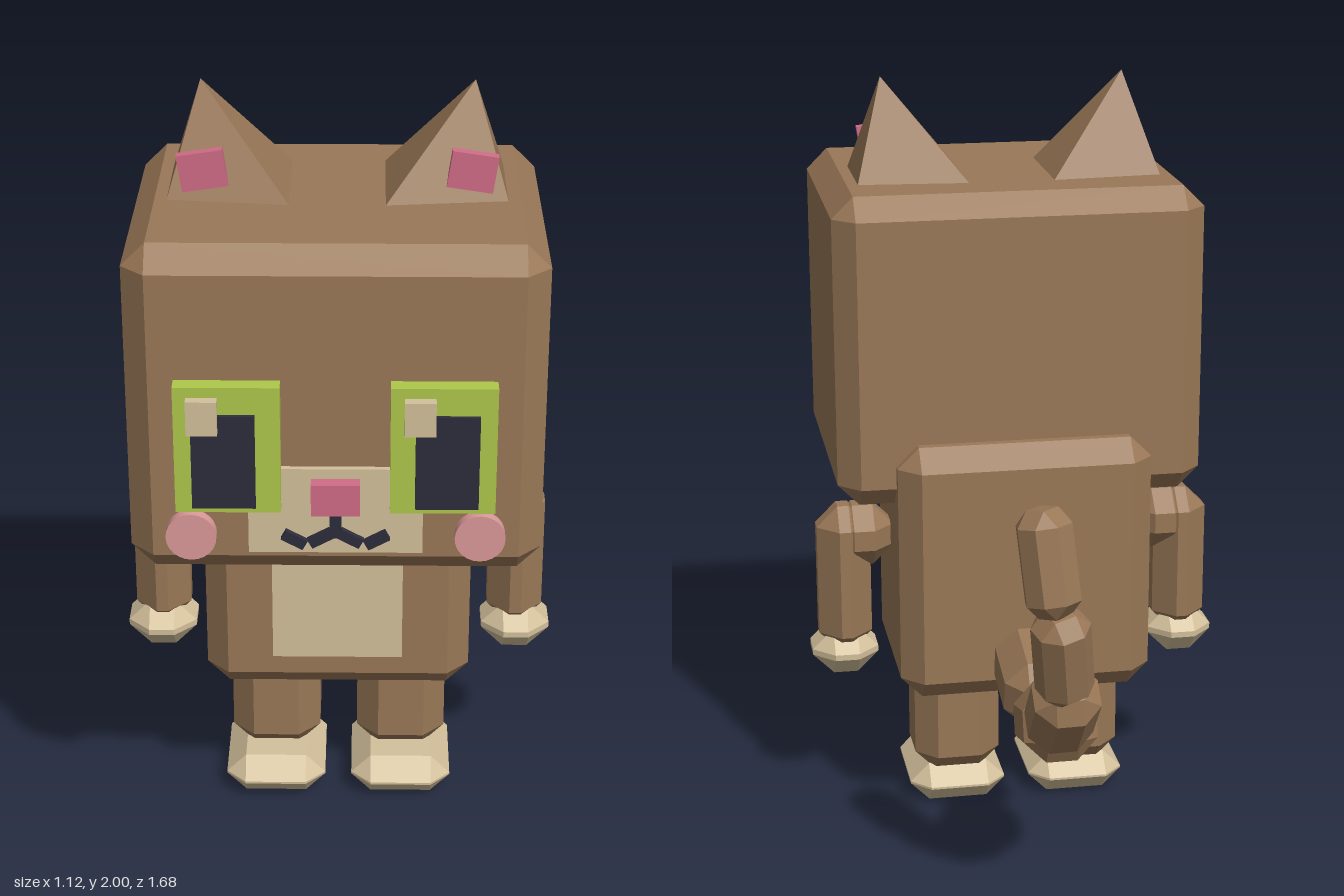
import * as THREE from 'three';
import { ConvexGeometry } from 'three/addons/geometries/ConvexGeometry.js';

const material = (name, color) => {
  const m = new THREE.MeshStandardMaterial({ color });
  m.name = name;
  return m;
};

// Box with every edge cut at 45 degrees
function chamferBox(w, h, d, c) {
  const points = [];
  const [x, y, z] = [w / 2, h / 2, d / 2];
  for (const i of [-1, 1]) for (const j of [-1, 1]) for (const k of [-1, 1]) {
    points.push(
      new THREE.Vector3(i * x, j * (y - c), k * (z - c)),
      new THREE.Vector3(i * (x - c), j * y, k * (z - c)),
      new THREE.Vector3(i * (x - c), j * (y - c), k * z)
    );
  }
  return new ConvexGeometry(points);
}

export function createModel() {
  const model = new THREE.Group();
  model.name = 'blockyCat';

  const fur = material('brownFur', 0x9a7857);
  const cream = material('cream', 0xd4c19c);
  const green = material('eyeGreen', 0xaec84a);
  const pink = material('pink', 0xd06c87);
  const blush = material('blush', 0xdc9999);
  const dark = material('dark', 0x2d2d3c);

  function add(name, geometry, mat, x = 0, y = 0, z = 0) {
    const mesh = new THREE.Mesh(geometry, mat);
    mesh.name = name;
    mesh.position.set(x, y, z);
    model.add(mesh);
    return mesh;
  }
  // Parts given by their [min, max] ranges
  const mid = (r) => (r[0] + r[1]) / 2;
  const len = (r) => r[1] - r[0];
  const block = (name, mat, x, y, z, c = 0.057) =>
    add(name, chamferBox(len(x), len(y), len(z), c), mat, mid(x), mid(y), mid(z));
  const plate = (name, mat, x, y, z) =>
    add(name, new THREE.BoxGeometry(len(x), len(y), len(z)), mat, mid(x), mid(y), mid(z));
  const side = (s, a, b) => (s > 0 ? [a, b] : [-b, -a]);

  // Head and body
  block('head', fur, [-0.49, 0.49], [0.91, 1.74], [-0.02, 0.77]);
  block('body', fur, [-0.34, 0.34], [0.38, 1.085], [-0.1, 0.44]);
  plate('belly', cream, [-0.165, 0.165], [0.51, 0.95], [0.43, 0.48]);

  // Face centre
  plate('muzzle', cream, [-0.205, 0.205], [0.985, 1.205], [0.76, 0.785]);
  plate('nose', pink, [-0.057, 0.057], [1.1, 1.18], [0.76, 0.82]);
  plate('mouthLine', dark, [-0.014, 0.014], [1.03, 1.1], [0.77, 0.8]);

  for (const s of [-1, 1]) {
    const label = s > 0 ? 'left' : 'right';

    // Limbs
    block(label + 'Leg', fur, side(s, 0.05, 0.285), [0.09, 0.44], [0.05, 0.29]);
    block(label + 'Foot', cream, side(s, 0.035, 0.3), [0, 0.11], [0.05, 0.385], 0.052);
    block(label + 'Shoulder', fur, side(s, 0.33, 0.5), [0.7, 0.87], [0.09, 0.25]);
    block(label + 'Arm', fur, side(s, 0.395, 0.54), [0.45, 0.87], [0.09, 0.25]);
    block(label + 'Hand', cream, side(s, 0.38, 0.56), [0.39, 0.52], [0.08, 0.275]);

    // Ear: leaning four-sided pyramid with a pink inset
    const ear = [
      [0.405, 1.735, 0.18], [0.11, 1.735, 0.155], [0.11, 1.735, 0.473],
      [0.405, 1.735, 0.44], [0.325, 2, 0.317]
    ].map(([x, y, z]) => new THREE.Vector3(s * x, y, z));
    add(label + 'Ear', new ConvexGeometry(ear), fur);
    add(label + 'InnerEar', new THREE.BoxGeometry(0.11, 0.09, 0.027), pink, s * 0.318, 1.813, 0.43)
      .rotation.z = -s * 0.15;

    // Eye
    plate(label + 'Eye', green, side(s, 0.127, 0.373), [1.105, 1.425], [0.76, 0.812]);
    plate(label + 'Pupil', dark, side(s, 0.185, 0.333), [1.12, 1.357], [0.8, 0.822]);
    const hx = s > 0 ? 0.195 : -0.306;
    plate(label + 'EyeHighlight', cream, [hx - 0.036, hx + 0.036], [1.315, 1.4], [0.8, 0.838]);

    // Cheek
    add(label + 'Cheek', new THREE.CylinderGeometry(0.06, 0.06, 0.04, 24), blush, s * 0.34, 1.03, 0.778)
      .rotation.x = Math.PI / 2;

    // Curved mouth half made of two short bars
    const bar = () => new THREE.BoxGeometry(0.058, 0.026, 0.03);
    add(label + 'MouthInner', bar(), dark, s * 0.035, 1.028, 0.785).rotation.z = -s * 0.5;
    add(label + 'MouthOuter', bar(), dark, s * 0.097, 1.024, 0.785).rotation.z = s * 0.5;
  }

  // Tail: start, end, thickness and twist of each segment
  const tail = [
    [[-0.005, 0.51, -0.05], [-0.005, 0.445, -0.315], 0.2, 0],
    [[-0.005, 0.43, -0.325], [-0.005, 0.5, -0.565], 0.19, 0],
    [[0.01, 0.485, -0.54], [0.015, 0.675, -0.72], 0.165, 0],
    [[0.02, 0.645, -0.705], [0.05, 0.895, -0.78], 0.135, 0.3],
    [[0.06, 0.885, -0.775], [0.085, 1.145, -0.735], 0.13, 0.7]
  ];
  const up = new THREE.Vector3(0, 1, 0);
  tail.forEach(([a, b, w, twist], i) => {
    const start = new THREE.Vector3(...a);
    const dir = new THREE.Vector3(...b).sub(start);
    const centre = start.clone().addScaledVector(dir, 0.5);
    const mesh = add('tailSegment' + (i + 1), chamferBox(w, dir.length(), w, w * 0.29), fur, ...centre);
    mesh.quaternion.setFromUnitVectors(up, dir.normalize());
    mesh.rotateY(twist);
  });

  return model;
}
